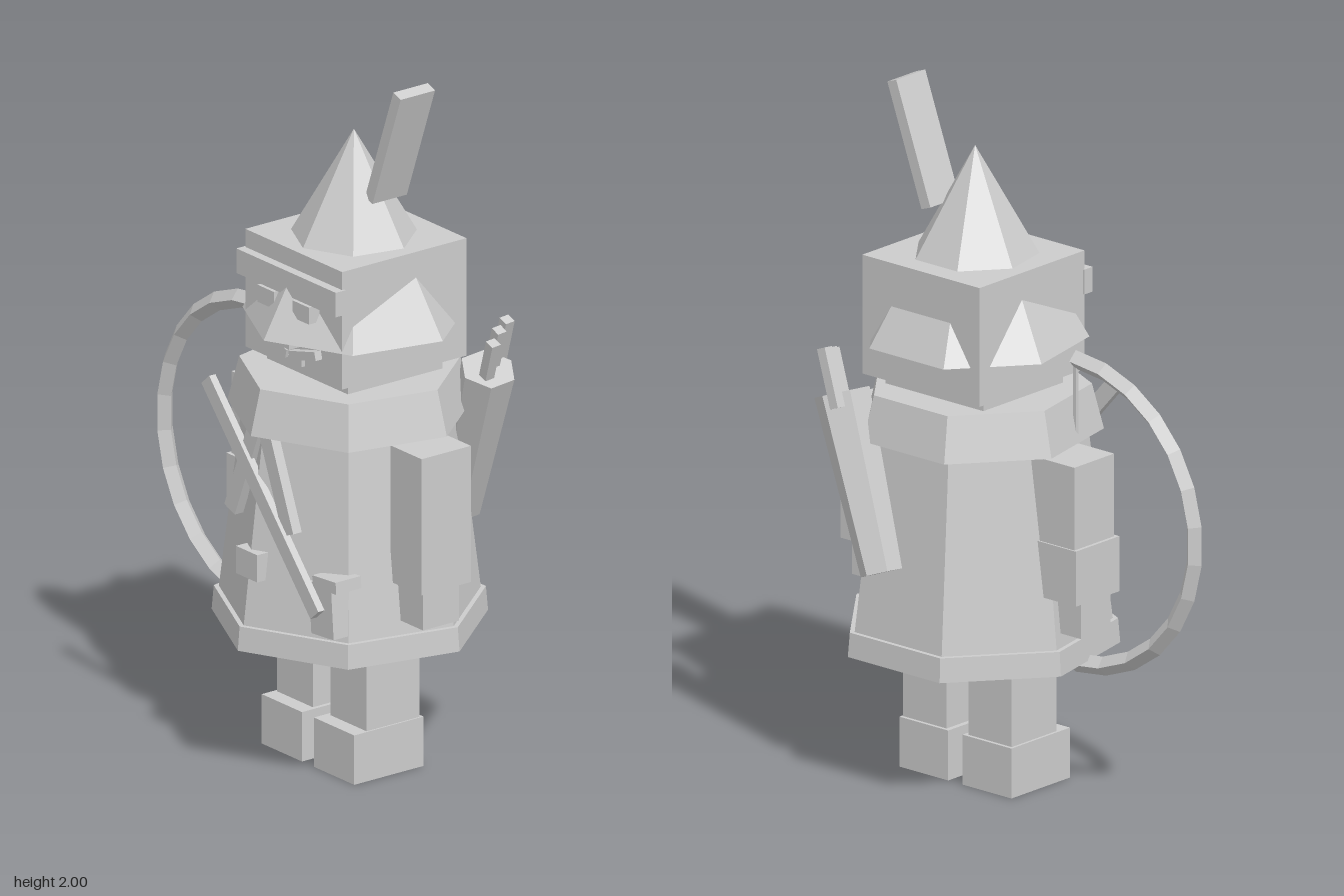
import * as THREE from 'three';

export function createModel() {
  const model = new THREE.Group();
  const plain = new THREE.MeshStandardMaterial({ color: 0xcccccc });
  plain.name = 'plainGrey';
  const CX = 0.16; // body axis

  const add = (name, geo, x, y, z) => {
    const flat = geo.index ? geo.toNonIndexed() : geo;
    flat.computeVertexNormals();
    const m = new THREE.Mesh(flat, plain);
    m.name = name;
    m.position.set(x, y, z);
    model.add(m);
    return m;
  };
  // box given by its limits
  const box = (name, x0, x1, y0, y1, z0, z1) =>
    add(name, new THREE.BoxGeometry(x1 - x0, y1 - y0, z1 - z0), (x0 + x1) / 2, (y0 + y1) / 2, (z0 + z1) / 2);
  // box tilted about z
  const tilted = (name, x, y, z, w, h, d, angle) => {
    const m = add(name, new THREE.BoxGeometry(w, h, d), x, y, z);
    m.rotation.z = angle;
    return m;
  };
  // seven-sided frustum
  const ring = (name, rTop, rBottom, y0, y1, z = 0.003) =>
    add(name, new THREE.CylinderGeometry(rTop, rBottom, y1 - y0, 7), CX, (y0 + y1) / 2, z);

  // legs and boots
  box('rightLeg', -0.04, 0.12, 0.14, 0.41, -0.085, 0.1);
  box('leftLeg', 0.2, 0.36, 0.14, 0.41, -0.085, 0.1);
  box('rightBoot', -0.048, 0.132, 0, 0.145, -0.095, 0.147);
  box('leftBoot', 0.185, 0.365, 0, 0.145, -0.095, 0.147);

  // robe, hem, cape and neck
  ring('hem', 0.384, 0.39, 0.39, 0.46);
  ring('robe', 0.3, 0.372, 0.44, 1.03);
  ring('cape', 0.312, 0.345, 1.01, 1.14);
  box('neck', -0.02, 0.34, 1.12, 1.2, -0.18, 0.15);

  // arms and hands
  box('rightSleeve', -0.275, -0.1, 0.77, 1.01, -0.09, 0.075);
  box('rightForearm', -0.285, -0.13, 0.61, 0.77, -0.095, 0.085);
  box('rightHand', -0.265, -0.15, 0.5, 0.62, -0.05, 0.07);
  box('leftSleeve', 0.455, 0.593, 0.61, 1.01, -0.082, 0.09);
  box('leftHand', 0.468, 0.58, 0.5, 0.62, -0.05, 0.075);

  // head with a pointed hat passing through it
  box('head', -0.057, 0.375, 1.175, 1.52, -0.237, 0.197);
  add('hat', new THREE.ConeGeometry(0.315, 0.55, 7), CX, 1.555, -0.012);
  box('headband', -0.063, 0.381, 1.395, 1.467, 0.19, 0.224);
  tilted('feather', 0.314, 1.822, -0.053, 0.035, 0.365, 0.12, -0.352);

  // face
  box('nose', CX - 0.027, CX + 0.027, 1.245, 1.3, 0.19, 0.235);
  for (const s of [-1, 1]) {
    box('eye', CX + s * 0.078 - 0.037, CX + s * 0.078 + 0.037, 1.345, 1.395, 0.19, 0.235);
    tilted('moustache', CX + s * 0.065, 1.235, 0.205, 0.12, 0.025, 0.03, s * 0.25);
    // crossed neck straps
    tilted('neckStrap', CX + s * 0.075, 0.89, 0.305, 0.05, 0.3, 0.03, s * 0.38);
  }
  box('mouth', CX - 0.05, CX + 0.05, 1.195, 1.215, 0.19, 0.21);

  // sash, buckle and hip pouch
  tilted('sash', 0.18, 0.832, 0.321, 0.735, 0.047, 0.022, -0.846);
  box('buckle', 0.112, 0.207, 0.597, 0.677, 0.31, 0.362);
  tilted('pouch', 0.39, 0.55, 0.243, 0.1, 0.15, 0.078, 0.08);
  tilted('pouchFlap', 0.41, 0.632, 0.243, 0.105, 0.035, 0.088, 0.08);

  // bow with string
  const bow = add('bow', new THREE.TorusGeometry(0.44, 0.027, 4, 13, Math.PI), -0.13, 0.81, 0.079);
  bow.rotation.z = Math.PI / 2;
  box('bowString', -0.135, -0.125, 0.37, 1.25, 0.074, 0.084);

  // quiver slung across the back, with arrows along its axis
  const top = new THREE.Vector3(0.4, 1.13, -0.293);
  const bottom = new THREE.Vector3(0.21, 0.66, -0.343);
  const axis = top.clone().sub(bottom);
  const turn = new THREE.Quaternion().setFromUnitVectors(new THREE.Vector3(0, 1, 0), axis.clone().normalize());
  const mid = top.clone().add(bottom).multiplyScalar(0.5);
  const quiver = add('quiver', new THREE.CylinderGeometry(0.08, 0.06, axis.length(), 6), mid.x, mid.y, mid.z);
  quiver.quaternion.copy(turn);
  for (const [x, y, z] of [[0.385, 1.19, -0.355], [0.405, 1.175, -0.312], [0.435, 1.155, -0.268]]) {
    add('arrow', new THREE.BoxGeometry(0.03, 0.17, 0.03), x, y, z).quaternion.copy(turn);
  }
  return model;
}
